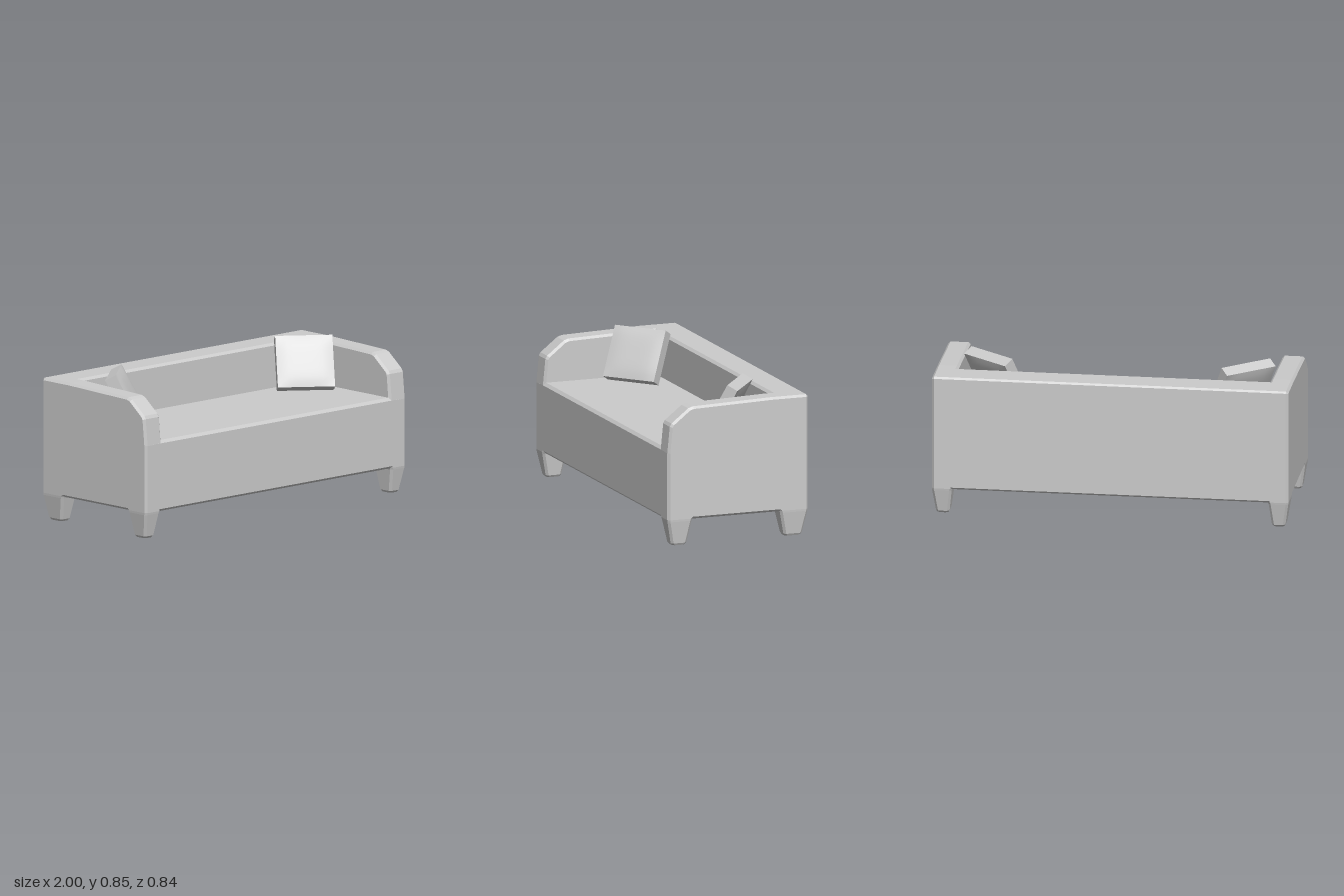
import * as THREE from 'three';
import { toCreasedNormals } from 'three/addons/utils/BufferGeometryUtils.js';

const material = new THREE.MeshStandardMaterial({ color: 0xcccccc });
const B = 0.013; // chamfer

function addMesh(parent, geometry, name) {
  const mesh = new THREE.Mesh(geometry, material);
  mesh.name = name;
  parent.add(mesh);
  return mesh;
}

// Side profile of [z, y] points, extruded from x0 to x1 with chamfered ends
function slab(points, x0, x1) {
  const shape = new THREE.Shape(points.map(([z, y]) => new THREE.Vector2(z, y)));
  const geo = new THREE.ExtrudeGeometry(shape, {
    depth: x1 - x0 - 2 * B, bevelEnabled: true, bevelSegments: 1,
    bevelSize: B, bevelThickness: B, bevelOffset: -B,
  });
  geo.rotateY(-Math.PI / 2);
  geo.translate(x1 - B, 0, 0);
  return geo;
}

// Eight-sided ring: a rectangle with cut corners
function ring(y, xa, xb, za, zb, c) {
  return [
    [xa + c, y, za], [xa, y, za + c], [xa, y, zb - c], [xa + c, y, zb],
    [xb - c, y, zb], [xb, y, zb - c], [xb, y, za + c], [xb - c, y, za],
  ];
}

// Skin a stack of rings from bottom to top, with both ends capped
function loft(rings) {
  const pos = [];
  const tri = (a, b, c) => pos.push(...a, ...b, ...c);
  const n = rings[0].length;
  for (let r = 0; r < rings.length - 1; r++) {
    for (let i = 0; i < n; i++) {
      const j = (i + 1) % n;
      const [a, b, c, d] = [rings[r][i], rings[r][j], rings[r + 1][j], rings[r + 1][i]];
      tri(a, b, c);
      tri(a, c, d);
    }
  }
  const low = rings[0], top = rings[rings.length - 1];
  for (let i = 1; i < n - 1; i++) {
    tri(low[0], low[i + 1], low[i]);
    tri(top[0], top[i], top[i + 1]);
  }
  const geo = new THREE.BufferGeometry();
  geo.setAttribute('position', new THREE.Float32BufferAttribute(pos, 3));
  geo.computeVertexNormals();
  return geo;
}

// Tapered leg; side is the sign of x, end the sign of z
function leg(side, end) {
  const inTop = end > 0 ? 0.27 : 0.25;
  const inLow = end > 0 ? 0.298 : 0.282;
  // y, inner x, outer x, inner z, outer z
  const rows = [
    [0, 0.912, 0.973, inLow + 0.008, 0.382],
    [0.012, 0.904, 0.98, inLow, 0.392],
    [0.138, 0.889, 0.999, inTop + 0.004, 0.418],
    [0.15, 0.885, 1, inTop, 0.42],
    [0.165, 0.88, 1, inTop - 0.015, 0.42],
  ];
  return loft(rows.map(([y, xi, xo, zi, zo]) => ring(
    y,
    side > 0 ? xi : -xo, side > 0 ? xo : -xi,
    end > 0 ? zi : -zo, end > 0 ? zo : -zi, B,
  )));
}

// Square cushion, thicker in the middle than along its rim
function cushionGeometry() {
  const w = 0.32, h = 0.3, t = 0.086;
  const geo = new THREE.BoxGeometry(w, h, t, 10, 10, 1);
  const p = geo.attributes.position;
  for (let i = 0; i < p.count; i++) {
    const u = Math.abs(p.getX(i)) / (w / 2);
    const v = Math.abs(p.getY(i)) / (h / 2);
    const puff = (1 - u ** 4) * (1 - v ** 4);
    p.setZ(i, p.getZ(i) * (0.76 + 0.24 * puff));
  }
  return toCreasedNormals(geo, 0.7);
}

export function createModel() {
  const sofa = new THREE.Group();
  sofa.name = 'sofa';

  // Seat base
  addMesh(sofa, slab([
    [-0.4, 0.147], [0.408, 0.147], [0.42, 0.16],
    [0.42, 0.532], [0.405, 0.548], [-0.4, 0.548],
  ], -0.96, 0.96), 'seatBase');

  // Backrest
  addMesh(sofa, slab([
    [-0.41, 0.147], [-0.26, 0.147], [-0.243, 0.165], [-0.243, 0.786],
    [-0.257, 0.8], [-0.41, 0.8], [-0.42, 0.79], [-0.42, 0.158],
  ], -1, 1), 'backrest');

  // Armrests
  const armProfile = [
    [-0.41, 0.147], [0.408, 0.147], [0.42, 0.16], [0.42, 0.53],
    [0.405, 0.68], [0.395, 0.698], [0.295, 0.777], [0.268, 0.786],
    [-0.2, 0.8], [-0.41, 0.8], [-0.42, 0.79], [-0.42, 0.158],
  ];
  addMesh(sofa, slab(armProfile, 0.875, 1), 'leftArmrest');
  addMesh(sofa, slab(armProfile, -1, -0.875), 'rightArmrest');

  // Legs
  for (const side of [1, -1]) {
    for (const end of [1, -1]) {
      const name = (end > 0 ? 'front' : 'back') + (side > 0 ? 'Left' : 'Right') + 'Leg';
      addMesh(sofa, leg(side, end), name);
    }
  }

  // Cushions leaning into the corners
  const cushion = cushionGeometry();
  for (const [name, x, yaw] of [['leftCushion', 0.68, -0.65], ['rightCushion', -0.692, 0.7]]) {
    const mesh = addMesh(sofa, cushion, name);
    mesh.position.set(x, 0.705, -0.064);
    mesh.rotation.set(-0.49, yaw, 0, 'YXZ');
  }
  return sofa;
}
